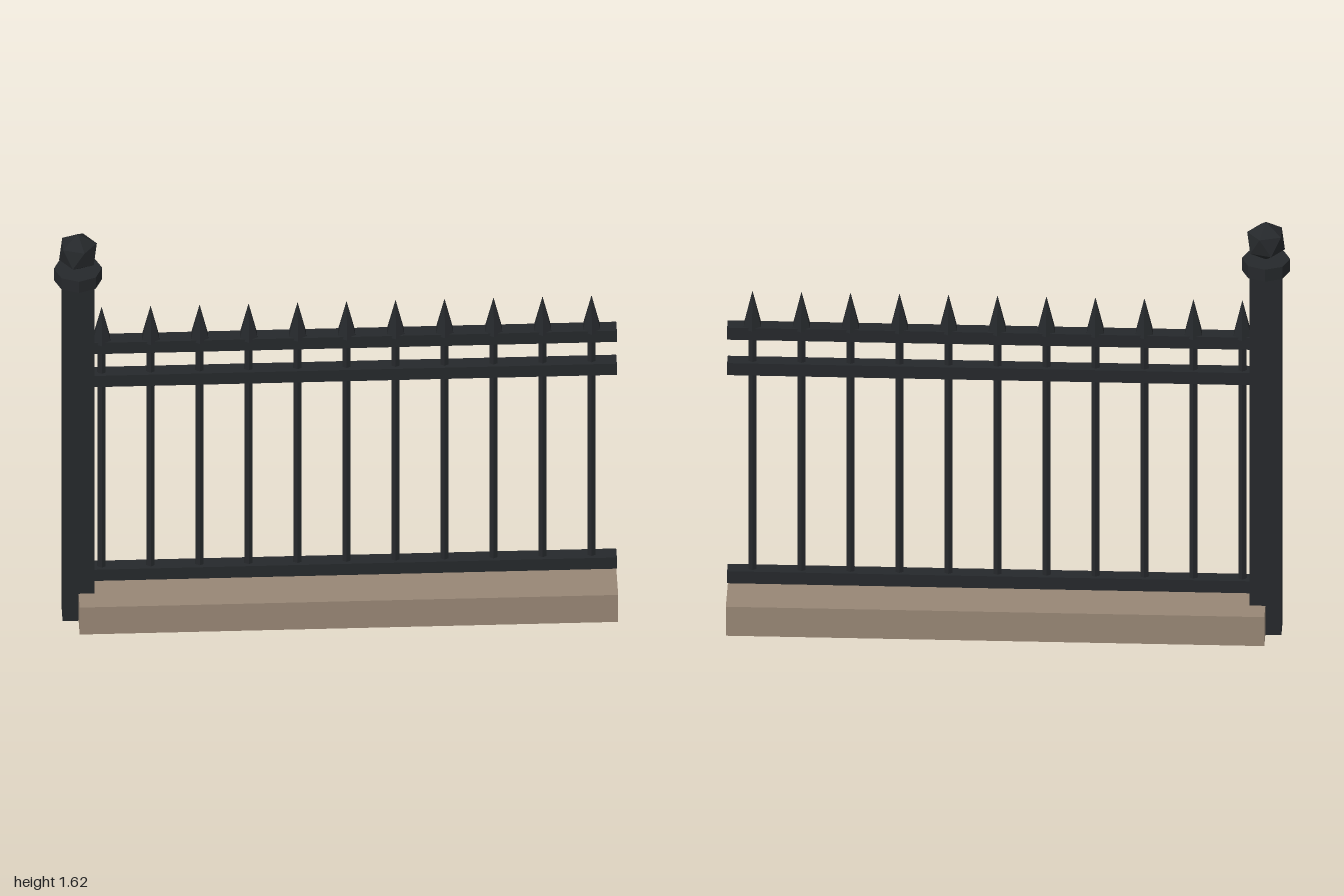
import * as THREE from 'three';

export function createModel() {
  const fence = new THREE.Group();
  fence.name = 'fenceSection';
  const iron = new THREE.MeshStandardMaterial({ color: 0x25282b, flatShading: true });
  const stone = new THREE.MeshStandardMaterial({ color: 0x978675, flatShading: true });

  const add = (name, geometry, material, x, y, z = 0, parent = fence) => {
    const mesh = new THREE.Mesh(geometry, material);
    mesh.name = name;
    mesh.position.set(x, y, z);
    parent.add(mesh);
    return mesh;
  };

  const postX = -0.914;
  const endX = 1;
  const length = endX - postX;
  const midX = (endX + postX) / 2;

  // Stone curb, starting at the middle of the post
  add('curb', new THREE.BoxGeometry(length, 0.116, 0.288), stone, midX, 0.058);

  // Square post with an octagonal cap
  add('post', new THREE.BoxGeometry(0.114, 1.43, 0.114), iron, postX, 0.715);
  add('postCap', new THREE.CylinderGeometry(0.086, 0.086, 0.048, 8), iron, postX, 1.454);

  // Faceted finial, turned so that it stands on one vertex
  const ball = new THREE.IcosahedronGeometry(0.075, 0);
  ball.rotateX(-Math.atan((1 + Math.sqrt(5)) / 2));
  ball.rotateY(Math.PI / 2);
  add('postFinial', ball, iron, postX, 1.55);

  // Horizontal rails, running into the post
  const railGeometry = new THREE.BoxGeometry(length, 0.048, 0.057);
  [['bottomRail', 0.174], ['middleRail', 1.008], ['topRail', 1.15]].forEach(([name, y]) =>
    add(name, railGeometry, iron, midX, y));

  // Pickets with spear points
  const barGeometry = new THREE.CylinderGeometry(0.016, 0.016, 1.025, 6);
  const spikeGeometry = new THREE.ConeGeometry(0.0375, 0.145, 6);
  for (let i = 0; i < 11; i++) {
    const picket = new THREE.Group();
    picket.name = `picket${i + 1}`;
    picket.position.x = -0.83 + i * 0.1741;
    add('bar', barGeometry, iron, 0, 0.6575, 0, picket);
    add('spike', spikeGeometry, iron, 0, 1.2375, 0, picket);
    fence.add(picket);
  }

  return fence;
}
